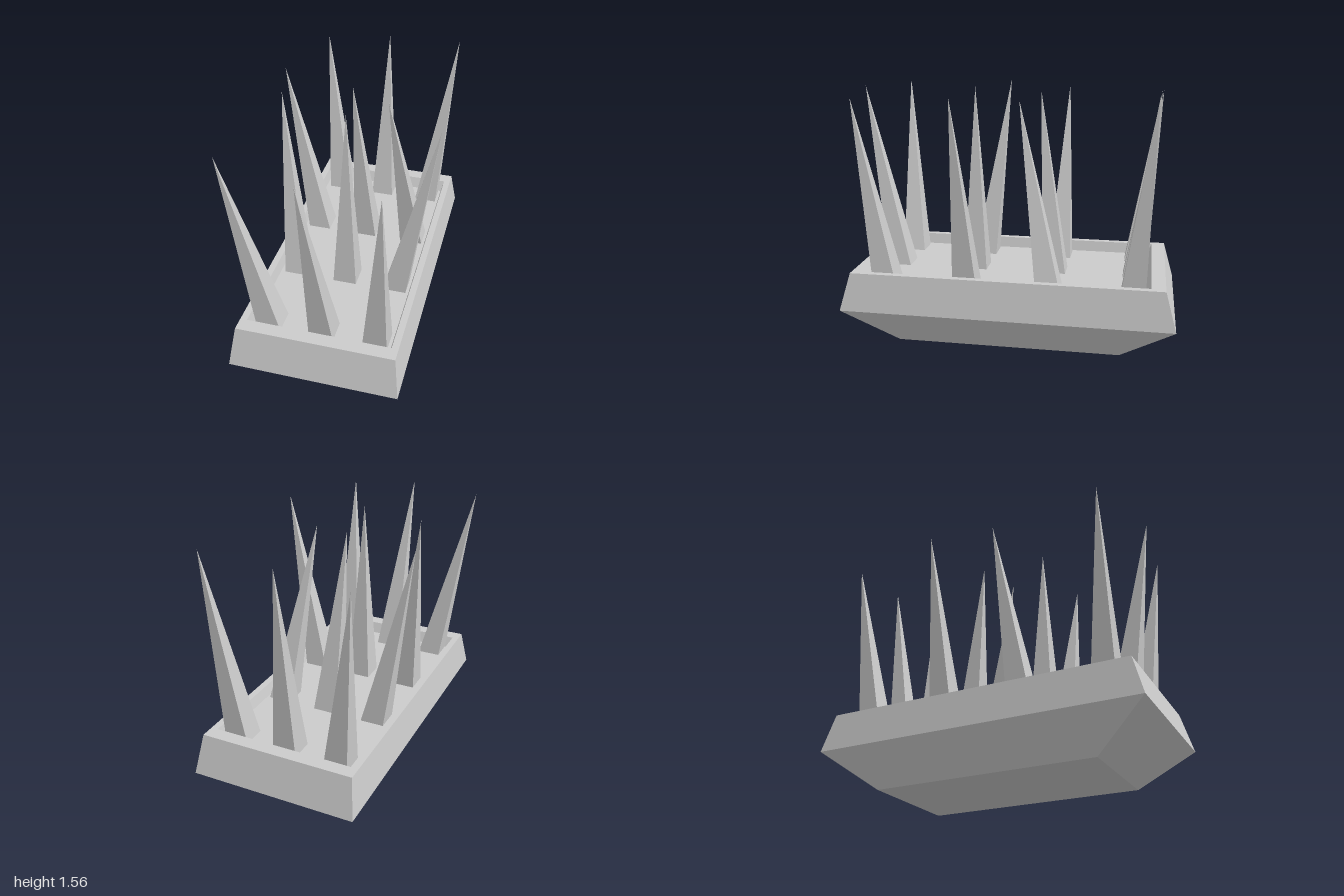
import * as THREE from 'three';

const material = new THREE.MeshStandardMaterial({ color: 0xcccccc, flatShading: true });
const FLOOR = 0.4;

// Rectangular rings [x half-width, y, z half-length], from the underside,
// up the outside, over the rim and down to the sunken floor
const rings = [
  [0.34, 0, 0.68],
  [0.5, 0.233, 1.0],
  [0.467, 0.466, 0.935],
  [0.427, 0.466, 0.852],
  [0.411, FLOOR, 0.82],
];

function createTray() {
  const corners = [[-1, 1], [1, 1], [1, -1], [-1, -1]];
  const positions = rings.flatMap(([w, y, l]) => corners.flatMap(([sx, sz]) => [sx * w, y, sz * l]));
  const index = [];
  const quad = (a, b, c, d) => index.push(a, b, c, a, c, d);
  for (let r = 0; r < rings.length - 1; r++) {
    for (let i = 0; i < 4; i++) {
      const a = r * 4 + i;
      const b = r * 4 + (i + 1) % 4;
      quad(a, b, b + 4, a + 4);
    }
  }
  quad(3, 2, 1, 0); // underside
  const f = (rings.length - 1) * 4;
  quad(f, f + 1, f + 2, f + 3); // sunken floor
  const indexed = new THREE.BufferGeometry();
  indexed.setAttribute('position', new THREE.Float32BufferAttribute(positions, 3));
  indexed.setIndex(index);
  const geometry = indexed.toNonIndexed();
  geometry.computeVertexNormals();
  const tray = new THREE.Mesh(geometry, material);
  tray.name = 'tray';
  tray.position.x = -0.007;
  return tray;
}

// Square-based spike, sheared so that its tip leans over to the given point
function createSpike(x, z, [tipX, tipY, tipZ]) {
  const h = tipY - FLOOR;
  const geometry = new THREE.ConeGeometry(0.072 * Math.SQRT2, h, 4).toNonIndexed();
  geometry.rotateY(Math.PI / 4);
  geometry.translate(0, h / 2, 0);
  geometry.applyMatrix4(new THREE.Matrix4().set(
    1, (tipX - x) / h, 0, 0,
    0, 1, 0, 0,
    0, (tipZ - z) / h, 1, 0,
    0, 0, 0, 1,
  ));
  geometry.computeVertexNormals();
  const spike = new THREE.Mesh(geometry, material);
  spike.name = 'spike';
  spike.position.set(x, FLOOR, z);
  return spike;
}

export function createModel() {
  const group = new THREE.Group();
  group.name = 'spikedTray';
  group.add(createTray());

  // Spike tips, by row from back to front and by column across
  const columns = [-0.318, -0.001, 0.314];
  const tips = [
    [[-0.437, 1.495, -0.877], [-0.015, 1.54, -0.877], [0.45, 1.56, -0.852]],
    [[-0.535, 1.515, -0.275], [-0.071, 1.517, -0.145], [0.17, 1.49, -0.048]],
    [[-0.424, 1.555, 0.1], [-0.002, 1.545, 0.252], [0.534, 1.54, 0.282]],
    [[-0.535, 1.535, 0.822], [-0.055, 1.535, 0.971], [0.361, 1.505, 0.915]],
  ];
  const spikes = new THREE.Group();
  spikes.name = 'spikes';
  tips.forEach((row, r) => row.forEach((tip, c) => {
    spikes.add(createSpike(columns[c], -0.75 + r * 0.5, tip));
  }));
  group.add(spikes);
  return group;
}
